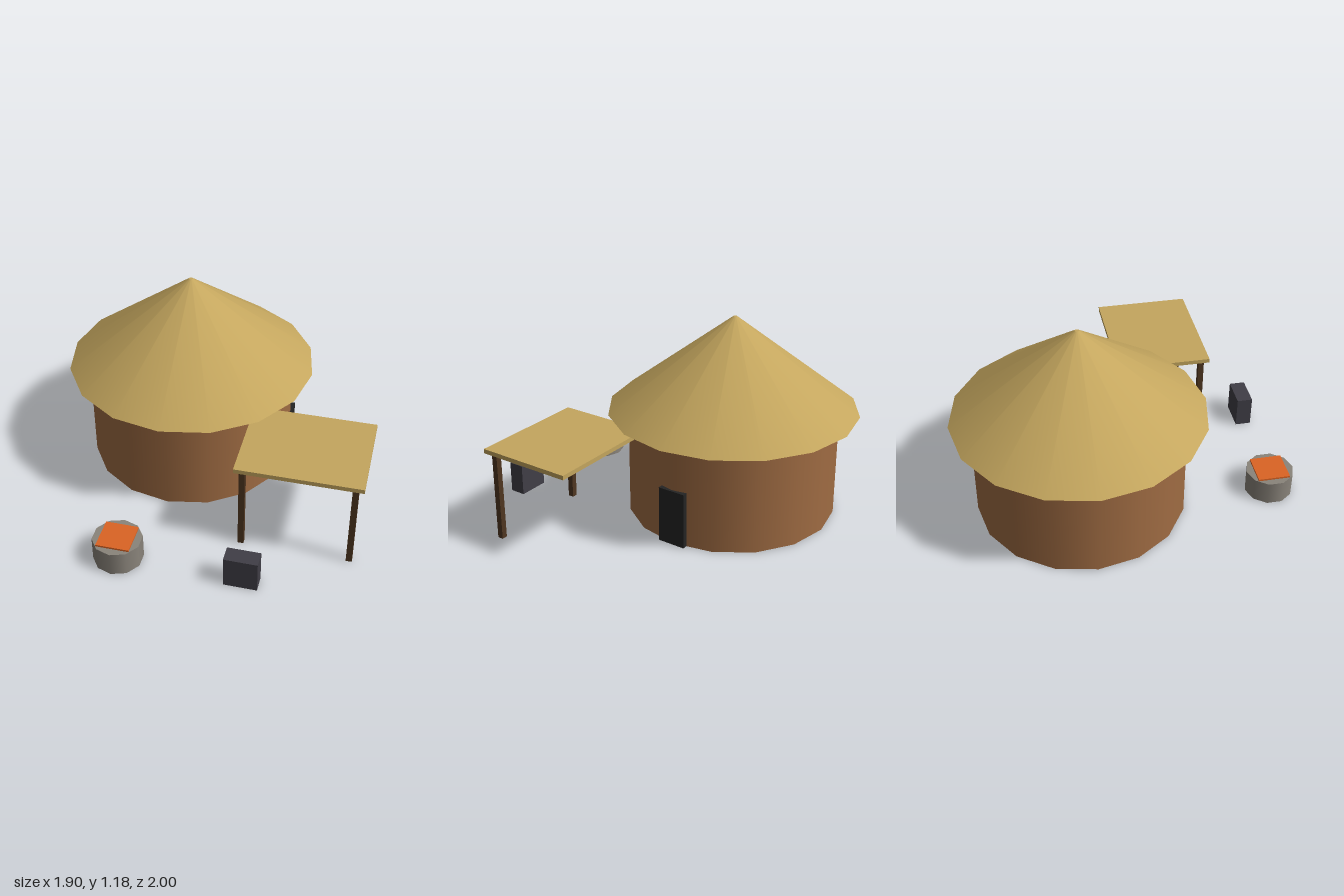
import * as THREE from 'three';

const mat = (name, color) => {
  const m = new THREE.MeshStandardMaterial({ color });
  m.name = name;
  return m;
};

export function createModel() {
  const group = new THREE.Group();
  const thatch = mat('thatch', 0xc4a65e);
  const clay = mat('clay', 0xa06c43);
  const wood = mat('wood', 0x4f3620);
  const doorDark = mat('door dark', 0x242424);
  const stone = mat('stone', 0x8a847b);
  const ember = mat('ember', 0xdb6424);
  const iron = mat('iron', 0x403e46);

  // every part is placed by its base height
  const add = (name, geometry, material, x, base, z) => {
    geometry.computeBoundingBox();
    const mesh = new THREE.Mesh(geometry, material);
    mesh.name = name;
    mesh.position.set(x, base - geometry.boundingBox.min.y, z);
    group.add(mesh);
  };
  const box = (w, h, d) => new THREE.BoxGeometry(w, h, d);
  const drum = (top, bottom, h, sides) => new THREE.CylinderGeometry(top, bottom, h, sides);

  // round hut
  const hx = -0.217, hz = -0.263;
  add('hutWall', drum(0.618, 0.618, 0.625, 16), clay, hx, 0, hz);
  add('hutRoof', drum(0.012, 0.737, 0.556, 16), thatch, hx, 0.624, hz);
  add('door', box(0.03, 0.336, 0.168), doorDark, 0.4, 0, hz);

  // lean-to canopy resting on the hut and two front posts
  add('canopy', box(0.71, 0.026, 0.57), thatch, 0.595, 0.537, 0.333);
  for (const x of [0.283, 0.902]) {
    add('canopyPost', box(0.034, 0.54, 0.034), wood, x, 0, 0.574);
  }

  // fire pit with a bed of embers
  add('firePit', drum(0.142, 0.142, 0.145, 10), stone, -0.358, 0, 0.855);
  add('emberBed', box(0.19, 0.028, 0.19), ember, -0.358, 0.128, 0.855);

  // iron block
  add('ironBlock', box(0.19, 0.19, 0.095), iron, 0.355, 0, 0.878);

  return group;
}
